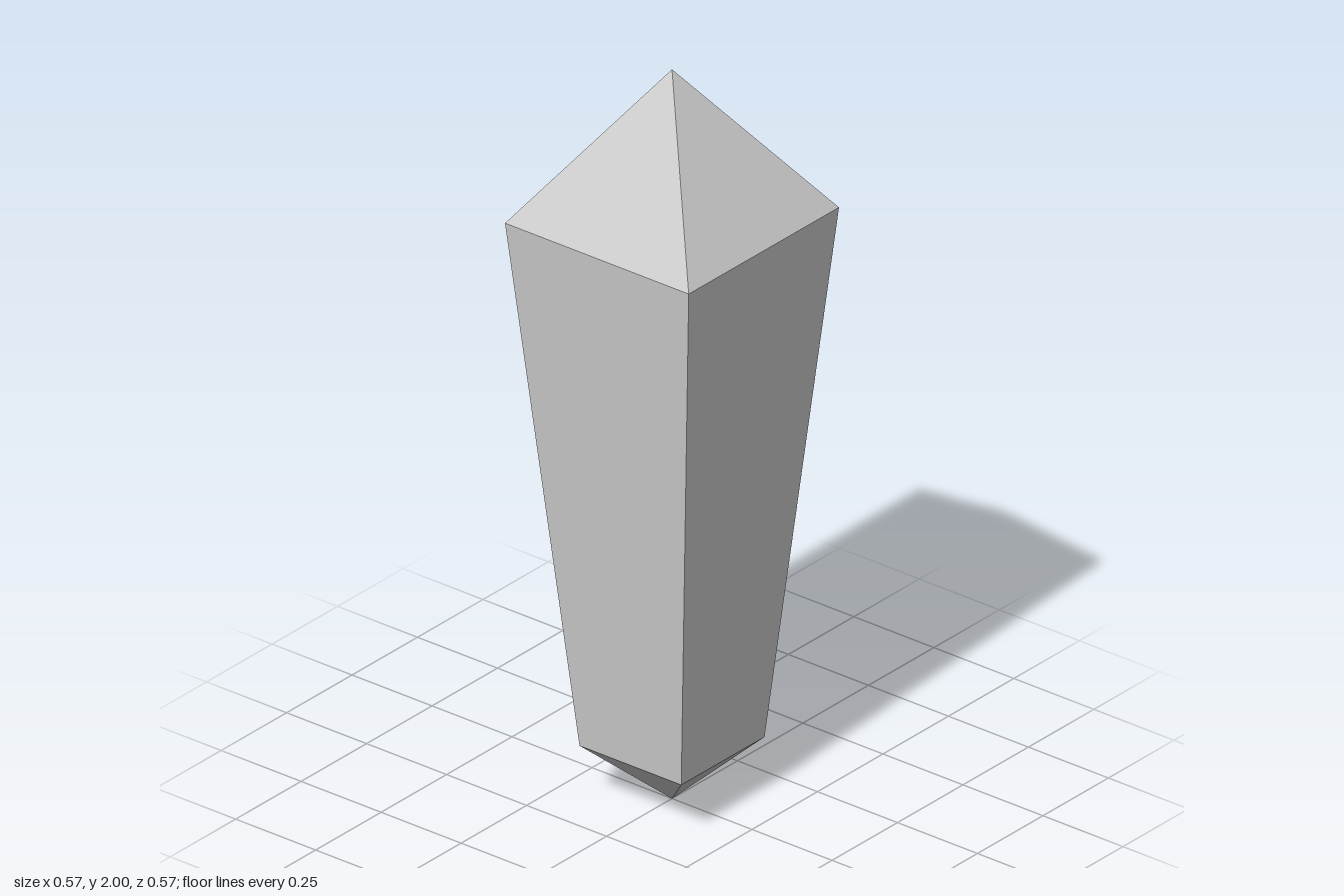
import * as THREE from 'three';

const SIDES = 4;
const material = new THREE.MeshStandardMaterial({ color: 0xcccccc, flatShading: true });

// Square frustum between two heights, given half widths; a zero width makes a point.
function section(name, yBottom, halfBottom, yTop, halfTop) {
  const geometry = new THREE.CylinderGeometry(
    halfTop * Math.SQRT2, halfBottom * Math.SQRT2, yTop - yBottom,
    SIDES, 1, true, Math.PI / 4
  ).toNonIndexed();
  geometry.computeVertexNormals();
  geometry.translate(0, (yBottom + yTop) / 2, 0);
  const mesh = new THREE.Mesh(geometry, material);
  mesh.name = name;
  return mesh;
}

export function createModel() {
  const crystal = new THREE.Group();
  crystal.name = 'crystal';
  crystal.add(
    section('bottomPoint', 0, 0, 0.157, 0.159),
    section('taperedShaft', 0.157, 0.159, 1.6, 0.287),
    section('topPoint', 1.6, 0.287, 2, 0)
  );
  return crystal;
}
